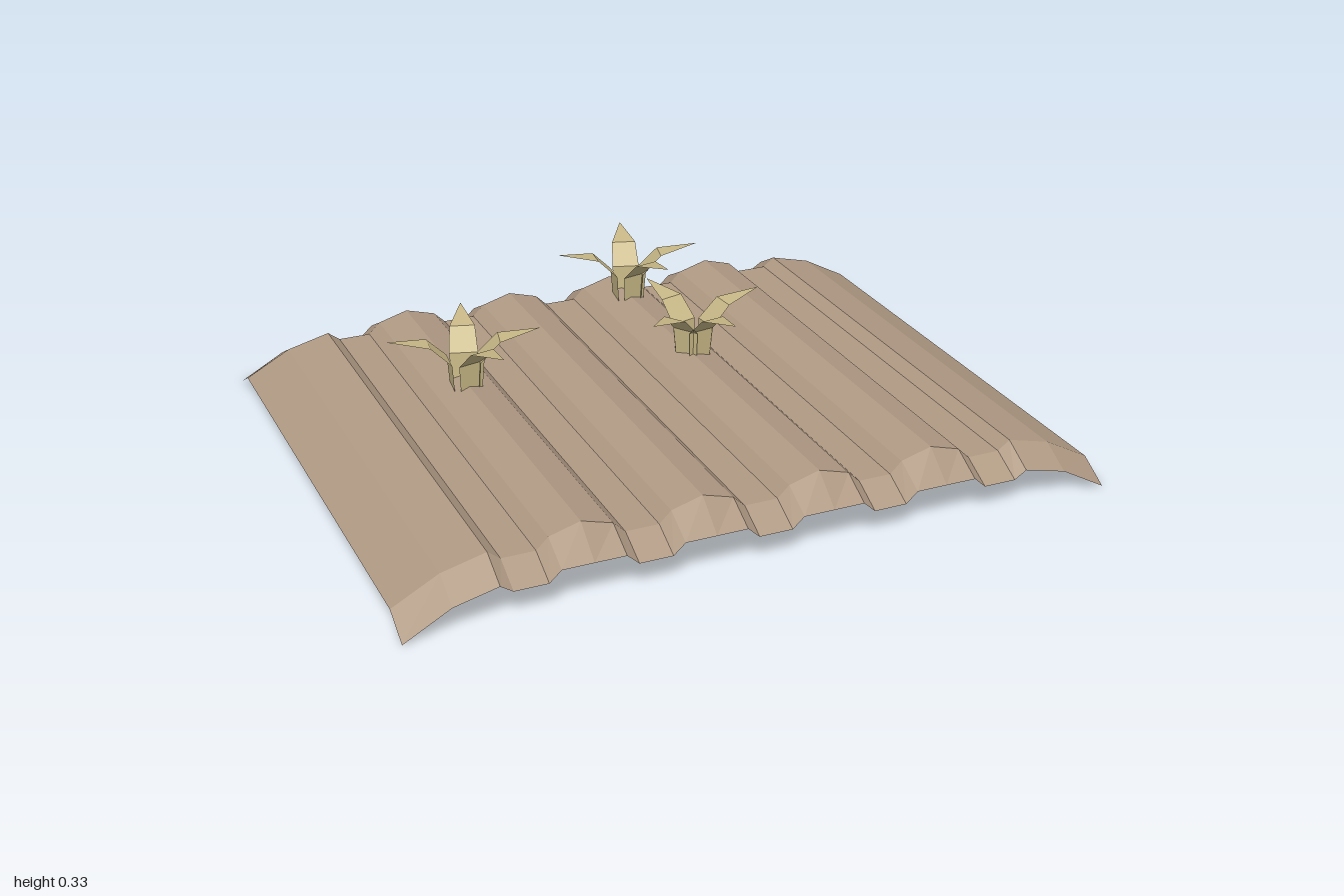
import * as THREE from 'three';

const soilMaterial = new THREE.MeshStandardMaterial({ color: 0xb09a84, flatShading: true, side: THREE.DoubleSide });
const leafMaterial = new THREE.MeshStandardMaterial({ color: 0xc8b887, flatShading: true, side: THREE.DoubleSide });

// Skin a grid of [x, y, z] rows that all have the same number of points
function loft(rows) {
  const cols = rows[0].length, index = [];
  for (let r = 0; r < rows.length - 1; r++) {
    for (let c = 0; c < cols - 1; c++) {
      const a = r * cols + c, b = a + cols;
      index.push(a, b, a + 1, a + 1, b, b + 1);
    }
  }
  const geometry = new THREE.BufferGeometry();
  geometry.setAttribute('position', new THREE.Float32BufferAttribute(rows.flat(2), 3));
  geometry.setIndex(index);
  geometry.computeVertexNormals();
  return geometry;
}

// Ridged bed: profile points are [x, height, height at the sloped end edge]
function createSoil() {
  const profile = [[-1, 0.055, 0.005], [-0.87, 0.125, 0.077], [-0.747, 0.156, 0.107]];
  for (const centre of [-0.5, -0.167, 0.167, 0.5]) {
    profile.push(
      [centre - 0.213 + (centre < -0.4 ? 0 : 0.09), 0.13, 0.085],
      [centre - 0.12, 0.13, 0.085],
      [centre - 0.087, 0.162, 0.115],
      [centre, 0.187, 0.115],
      [centre + 0.087, 0.162, 0.115],
      [centre + 0.12, 0.13, 0.085],
    );
  }
  profile.push([0.713, 0.13, 0.085], [0.747, 0.156, 0.107], [0.87, 0.125, 0.077], [1, 0.055, 0.005]);

  const row = (z, k) => profile.map((p) => [p[0], p[k], z]);
  const soil = new THREE.Mesh(loft([row(-0.8, 2), row(-0.71, 1), row(0.71, 1), row(0.8, 2)]), soilMaterial);
  soil.name = 'ridgedSoil';
  return soil;
}

// Leaf: upright base that bends outward to a point, as [radius, height, half width]
const leafSections = [[0.03, 0.065, 0.028], [0.042, 0.257, 0.041], [0.1, 0.315, 0.036], [0.215, 0.335, 0.001]];
const leafGeometry = loft(leafSections.map(([r, y, w]) => [[r, y, -w], [r, y, w]]));

function createSprout(x, z, turn) {
  const sprout = new THREE.Group();
  sprout.name = 'sprout';
  for (const angle of [187, 287, 13, 78]) {
    const leaf = new THREE.Mesh(leafGeometry, leafMaterial);
    leaf.name = 'leaf';
    leaf.rotation.y = -THREE.MathUtils.degToRad(angle + turn);
    sprout.add(leaf);
  }
  sprout.position.set(x, 0, z);
  return sprout;
}

export function createModel() {
  const model = new THREE.Group();
  model.name = 'plantedSoilPatch';
  model.add(
    createSoil(),
    createSprout(-0.5, -0.165, 0),
    createSprout(0.17, -0.57, 0),
    createSprout(0.185, -0.115, 68),
  );
  return model;
}
